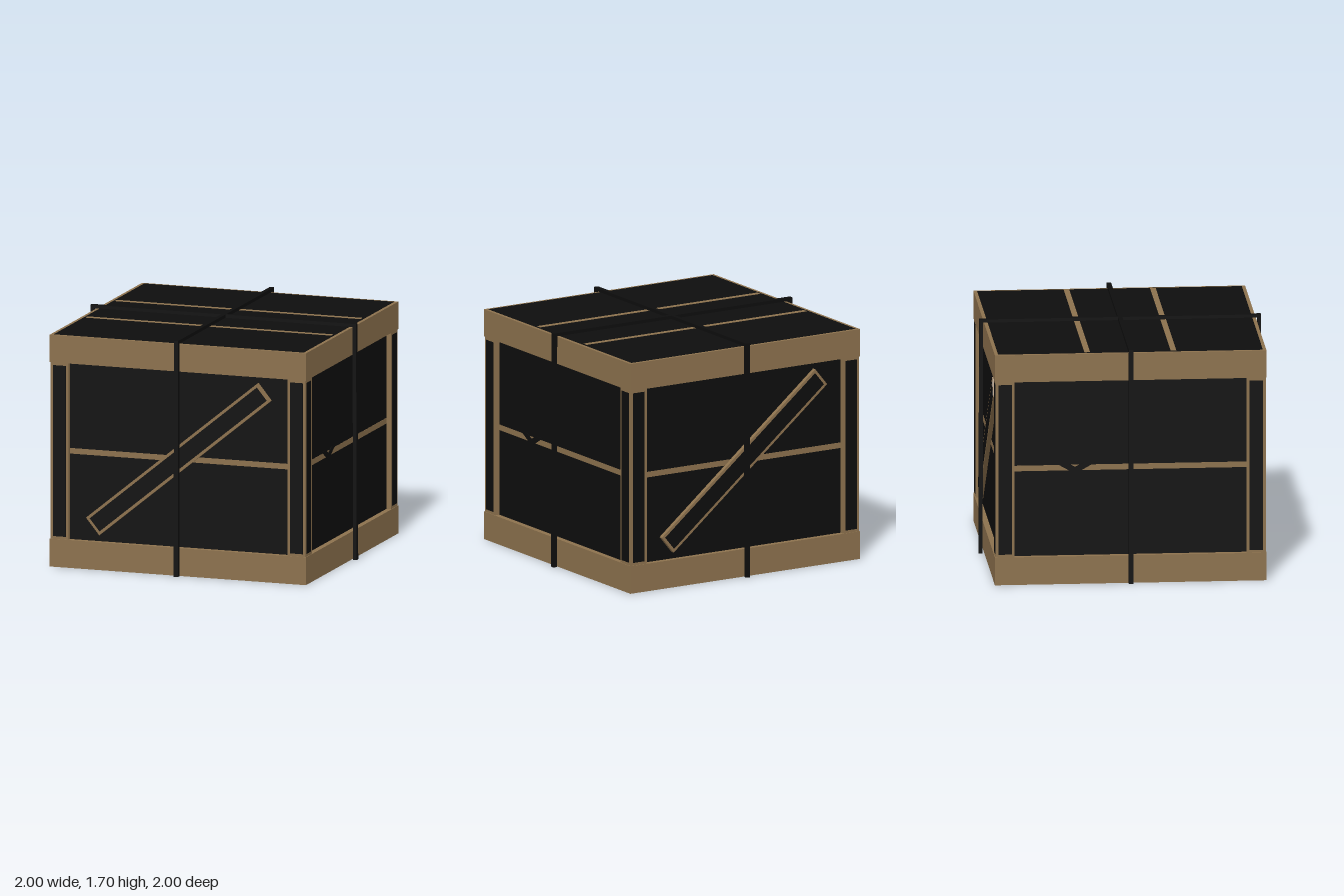
import * as THREE from 'three';

const wood = new THREE.MeshStandardMaterial({ color: 0x8c714d });
const dark = new THREE.MeshStandardMaterial({ color: 0x0d0d0d });

const OUT = 0.96, IN = 0.92;       // outer and inner half width of the frame
const LOW = 0.2, HIGH = 1.47, TOP = 1.667; // frame heights
const MID = (LOW + HIGH) / 2;

function box(name, mat, w, h, d, x, y, z) {
  const m = new THREE.Mesh(new THREE.BoxGeometry(w, h, d), mat);
  m.name = name;
  m.position.set(x, y, z);
  return m;
}

function polygon(points) {
  return new THREE.Shape(points.map(([x, y]) => new THREE.Vector2(x, y)));
}

function extrude(name, mat, shape, depth) {
  const m = new THREE.Mesh(new THREE.ExtrudeGeometry(shape, { depth, bevelEnabled: false }), mat);
  m.name = name;
  return m;
}

// Wooden plank with a dark face inside a narrow worn edge
function plank(name, w, h, d) {
  const g = new THREE.Group();
  g.name = name;
  g.add(box(name + 'Board', wood, w, h, d, 0, 0, 0));
  g.add(box(name + 'Face', dark, w - 0.04, h - 0.04, 0.004, 0, 0, d / 2));
  return g;
}

// Square ring around the crate
function band(name, y0, y1) {
  const square = (r) => [[-r, -r], [r, -r], [r, r], [-r, r]];
  const s = polygon(square(OUT));
  s.holes.push(new THREE.Path(polygon(square(IN)).getPoints().reverse()));
  const m = extrude(name, wood, s, y1 - y0);
  m.rotation.x = -Math.PI / 2;
  m.position.y = y0;
  return m;
}

// One wall, built facing +z
function wall(braced) {
  const g = new THREE.Group();
  g.name = 'wall';
  g.add(box('panel', dark, 2 * IN, TOP - 0.02, 0.012, 0, TOP / 2, IN - 0.006));
  g.add(box('seam', wood, 1.8, 0.04, 0.016, 0, MID, IN - 0.006));
  for (const s of [-1, 1]) {
    const post = plank('cornerPost', 0.135, HIGH - LOW, 0.035);
    post.position.set(s * 0.8875, MID, 0.9375);
    g.add(post);
  }
  if (braced) {
    const brace = plank('diagonalBrace', 1.66, 0.156, 0.03);
    brace.position.set(0, MID, IN + 0.015);
    brace.rotation.z = Math.atan2(1.15, 1.4);
    g.add(brace);
  } else {
    const mark = extrude('chevron', dark, polygon([
      [-0.14, 0.08], [0, 0], [0.14, 0.08], [0.06, 0.08], [0, 0.05], [-0.06, 0.08],
    ]), 0.004);
    mark.position.set(-0.39, 0.79, IN + 0.001);
    g.add(mark);
  }
  return g;
}

// Strap running up one side, over the lid and down the other
function strap() {
  const s = polygon([
    [-1, 0], [-0.972, 0], [-0.969, 1.674], [0.969, 1.674], [0.972, 0],
    [1, 0], [0.995, 1.697], [-0.995, 1.697],
  ]);
  const m = extrude('strap', dark, s, 0.032);
  m.geometry.translate(0, 0, -0.016);
  return m;
}

export function createModel() {
  const crate = new THREE.Group();
  crate.name = 'crate';

  for (let k = 0; k < 4; k++) {
    const side = wall(k % 2 === 0);
    side.rotation.y = k * Math.PI / 2;
    crate.add(side);
  }
  crate.add(band('bottomBand', 0, LOW), band('topBand', HIGH, TOP));

  // Lid of three boards; the underside of the crate is open
  crate.add(box('lid', dark, 1.87, 0.02, 1.87, 0, TOP - 0.008, 0));
  for (const z of [-0.305, 0.305]) {
    crate.add(box('lidSeam', wood, 1.84, 0.004, 0.04, 0, TOP + 0.002, z));
  }

  for (let k = 0; k < 2; k++) {
    const s = strap();
    s.rotation.y = k * Math.PI / 2;
    crate.add(s);
  }
  return crate;
}
